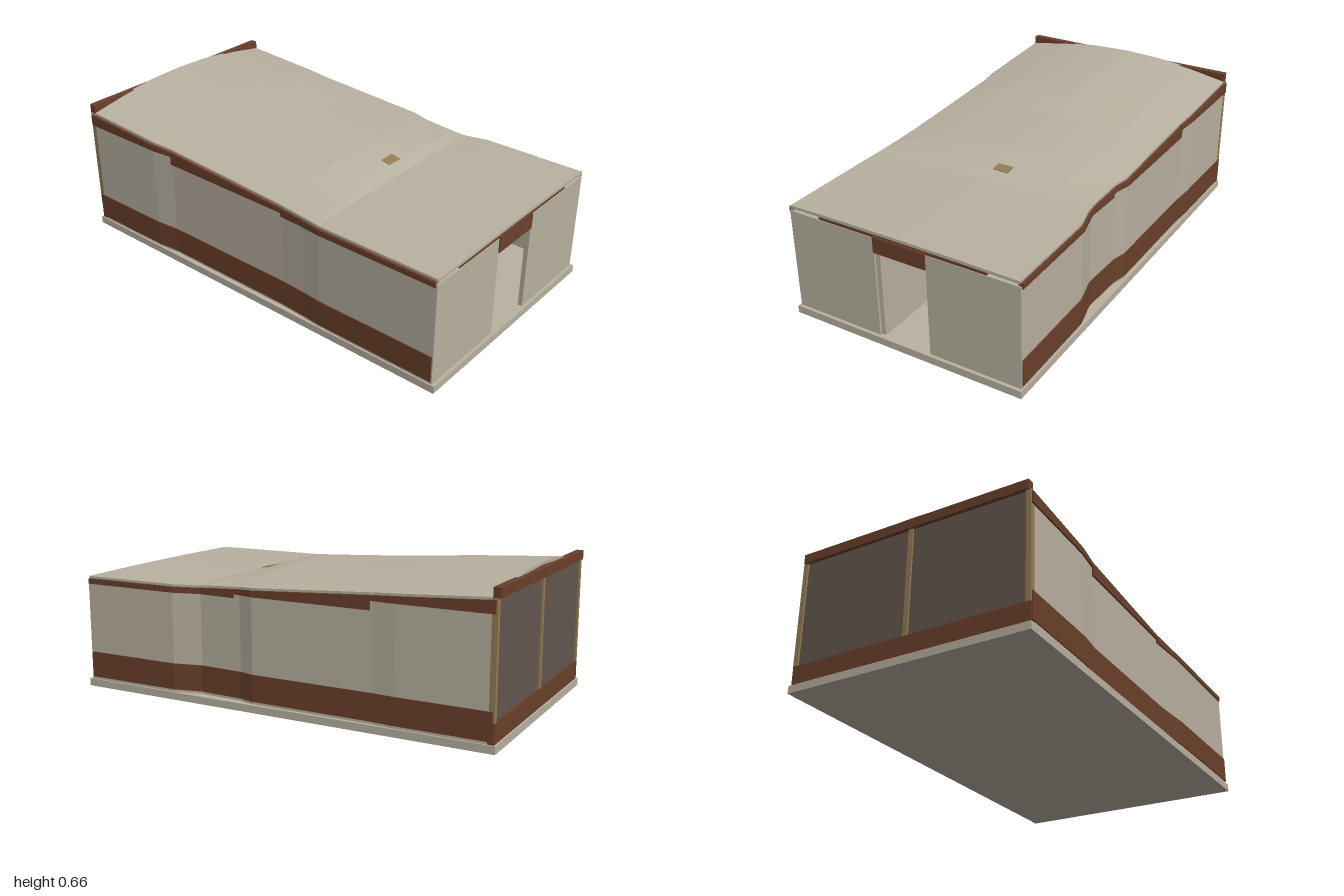
import * as THREE from 'three';

const mat = (name, color, opts = {}) => {
  const m = new THREE.MeshStandardMaterial({ color, ...opts });
  m.name = name;
  return m;
};

// Piecewise linear lookup in [z, value] points, z descending
function at(points, z) {
  for (let i = 0; i < points.length - 1; i++) {
    const [z0, v0] = points[i], [z1, v1] = points[i + 1];
    if (z >= z1) return v0 + (v1 - v0) * Math.min(1, (z - z0) / (z1 - z0));
  }
  return points[points.length - 1][1];
}

// Plan outline of the side walls (distance from the centre line)
const outline = {
  1: [[0.98, 0.55], [0.51, 0.547], [0.38, 0.515], [0.17, 0.523], [0.1, 0.54], [-0.47, 0.541], [-0.57, 0.548], [-0.985, 0.55]],
  '-1': [[0.98, 0.55], [0.41, 0.549], [0.32, 0.542], [0.2, 0.536], [-0.46, 0.536], [-0.57, 0.548], [-0.985, 0.55]],
};
const eave = [[0.985, 0.52], [0.4, 0.522], [-0.985, 0.603]];
const crown = [[0.985, 0.525], [0.4, 0.526], [0.34, 0.545], [0.17, 0.577], [-0.2, 0.6], [-0.5, 0.63], [-0.985, 0.66]];

// Box whose vertices follow a rule: (u, v in 0..1, z) -> [x, y]
function loft(zs, columns, rule) {
  const n = zs.length - 1;
  const box = new THREE.BoxGeometry(1, 1, 1, columns, 1, n);
  const p = box.attributes.position;
  for (let i = 0; i < p.count; i++) {
    const z = zs[Math.round((0.5 - p.getZ(i)) * n)];
    const [x, y] = rule(p.getX(i) + 0.5, p.getY(i) + 0.5, z);
    p.setXYZ(i, x, y, z);
  }
  const g = box.toNonIndexed();
  g.computeVertexNormals();
  return g;
}

export function createModel() {
  const house = new THREE.Group();
  house.name = 'house';
  const plaster = mat('plaster', 0xb9b1a0);
  const wood = mat('brownWood', 0x6b402b);
  const tan = mat('tanTimber', 0x937d55);
  const glass = mat('tintedGlass', 0x64574f);

  const add = (name, geometry, material, parent = house) => {
    const m = new THREE.Mesh(geometry, material);
    m.name = name;
    parent.add(m);
    return m;
  };
  // Box given by its extents
  const block = (name, x0, x1, y0, y1, z0, z1, material, parent) => {
    const m = add(name, new THREE.BoxGeometry(x1 - x0, y1 - y0, z1 - z0), material, parent);
    m.position.set((x0 + x1) / 2, (y0 + y1) / 2, (z0 + z1) / 2);
    return m;
  };

  block('baseSlab', -0.557, 0.557, 0, 0.034, -1, 1, plaster);

  // Curved side walls, plinths and stepped cornices
  for (const s of [1, -1]) {
    const path = outline[s];
    const band = (name, zA, zB, y0, topRule, inner, outer, material) => {
      const zs = [zA, ...[...path, [0.4, 0]].map(q => q[0]).filter(z => z < zA && z > zB), zB].sort((a, b) => b - a);
      add(name, loft(zs, 1, (u, v, z) => {
        const d = at(path, z) + (u === (s > 0 ? 1 : 0) ? outer : inner);
        return [s * d, v ? topRule(z) : y0];
      }), material);
    };
    const underRoof = z => at(eave, z) - 0.014;
    band('sideWall', 0.98, -0.985, 0.034, underRoof, -0.016, 0, plaster);
    band('sidePlinth', 0.98, -0.985, 0.046, () => 0.165, -0.01, 0.005, wood);
    for (const [zA, zB, y] of [[0.98, 0.2, 0.486], [0.2, -0.46, 0.502], [-0.46, -0.985, 0.54]])
      band('sideCornice', zA, zB, y, z => underRoof(z) + 0.004, -0.014, 0.007, wood);
  }

  // Front wall with doorway and lintel
  for (const s of [1, -1])
    block('frontWall', s > 0 ? 0.125 : -0.55, s > 0 ? 0.55 : -0.125, 0.034, 0.495, 0.965, 0.985, plaster);
  block('doorLintel', -0.125, 0.125, 0.43, 0.502, 0.963, 0.99, wood);
  block('frontTopTrim', -0.4, 0.4, 0.495, 0.508, 0.965, 0.982, wood);
  block('entryPartition', -0.125, -0.104, 0.034, 0.43, 0.56, 0.975, plaster);

  // Arched roof: flat at the front, rising towards the back
  const roofRows = [0.985, 0.51, 0.4, 0.34, 0.17, 0.1, -0.2, -0.47, -0.57, -0.98];
  add('roof', loft(roofRows, 6, (u, v, z) => {
    const t = u * 2 - 1;
    const s = t < 0 ? -1 : 1;
    const x = t * (at(outline[s], z) - 0.005);
    const e = at(eave, z);
    return [x, e + (at(crown, z) - e) * (1 - t * t) - (v ? 0 : 0.013)];
  }), plaster);
  const vent = block('roofVent', 0.015, 0.09, 0.541, 0.552, 0.29, 0.335, tan);
  vent.rotation.x = 0.2;

  // Glazed back wall
  block('backPlinth', -0.55, 0.55, 0.034, 0.12, -0.992, -0.965, wood);
  block('backGlass', -0.54, 0.54, 0.12, 0.602, -0.984, -0.978, glass);
  block('backFascia', -0.545, 0.545, 0.598, 0.64, -1, -0.968, wood);
  for (const x of [-0.54, 0, 0.54])
    block('backMullion', x - 0.011, x + 0.011, 0.12, 0.6, -0.992, -0.968, tan);

  // Counter along the inside of the back wall
  block('backCounter', -0.52, 0.52, 0.034, 0.18, -0.96, -0.88, wood);
  block('counterTop', -0.52, 0.52, 0.18, 0.19, -0.965, -0.87, wood);
  block('counterStep', -0.52, 0.52, 0.034, 0.085, -0.88, -0.8, wood);

  // Small table with splayed legs
  const table = new THREE.Group();
  table.name = 'table';
  house.add(table);
  block('tableTop', -0.05, 0.1, 0.13, 0.138, -0.06, 0.06, wood, table);
  for (const sx of [1, -1]) {
    for (const z of [-0.045, 0.045]) {
      const leg = block('tableLeg', -0.006, 0.006, 0.034, 0.132, z - 0.006, z + 0.006, wood, table);
      leg.position.x = 0.025 + sx * 0.043;
      leg.rotation.z = sx * 0.1;
    }
    block('tableFoot', 0.019 + sx * 0.046, 0.031 + sx * 0.046, 0.034, 0.044, -0.05, 0.05, wood, table);
  }
  block('tableStretcher', -0.018, 0.068, 0.07, 0.08, -0.006, 0.006, wood, table);

  return house;
}
